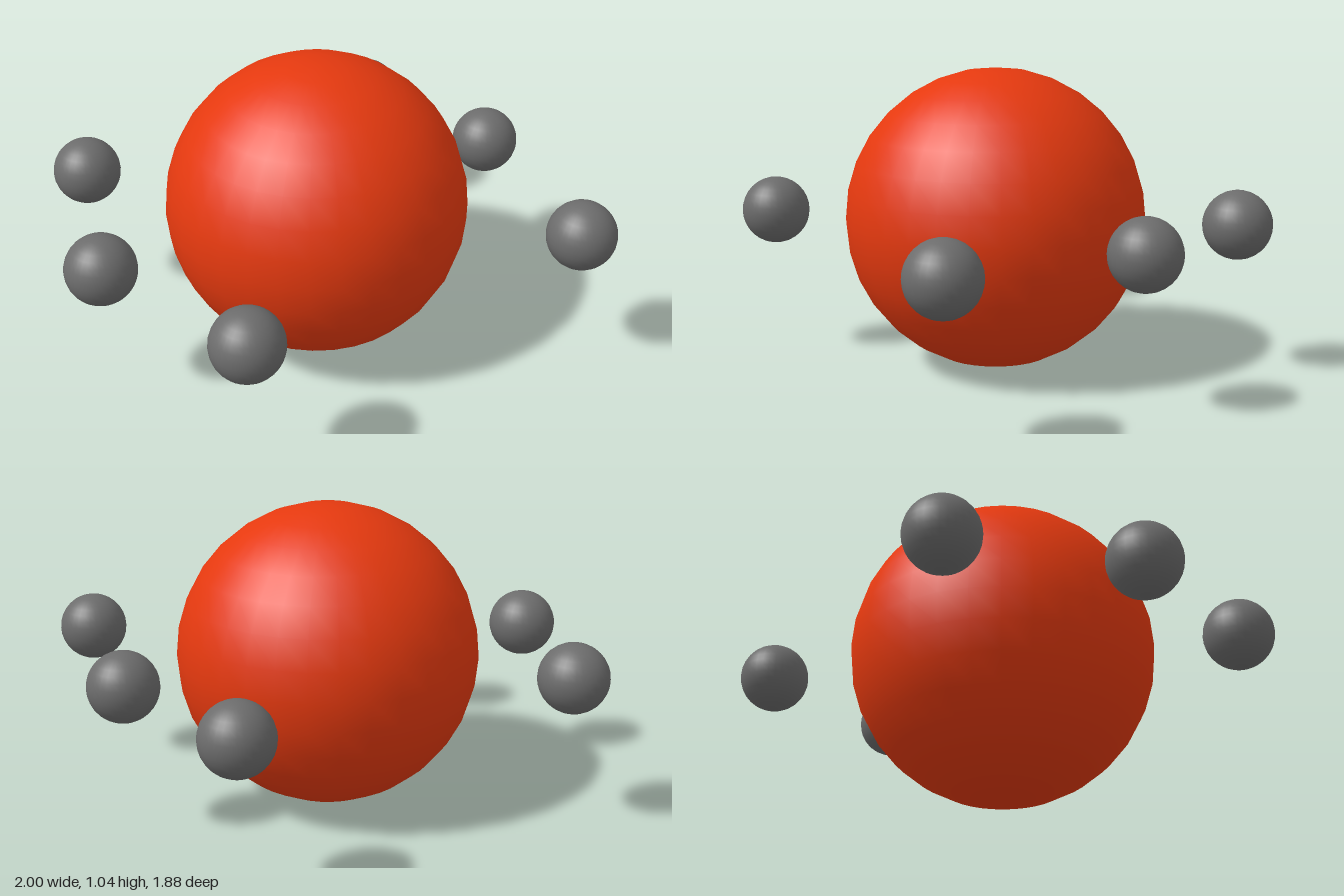
import * as THREE from 'three';

export function createModel() {
  const model = new THREE.Group();
  model.name = 'orbModel';
  const height = 0.523;

  const red = new THREE.MeshStandardMaterial({ color: 0xe5390f });
  const grey = new THREE.MeshStandardMaterial({ color: 0x6c6c6c });

  const addBall = (name, geometry, material, x, z) => {
    const ball = new THREE.Mesh(geometry, material);
    ball.name = name;
    ball.position.set(x, height, z);
    model.add(ball);
  };

  // Large central sphere
  addBall('centralSphere', new THREE.SphereGeometry(0.522, 32, 16), red, -0.03, 0.01);

  // Six small spheres floating around its equator
  const small = new THREE.SphereGeometry(0.119, 32, 16);
  const satellites = [
    ['leftSatellite', 0.88, 0.01],
    ['rightSatellite', -0.88, 0.01],
    ['frontSatellite', -0.045, 0.815],
    ['backSatellite', -0.03, -0.823],
    ['frontRightSatellite', -0.608, 0.563],
    ['backLeftSatellite', 0.481, -0.538],
  ];
  for (const [name, x, z] of satellites) addBall(name, small, grey, x, z);

  return model;
}
